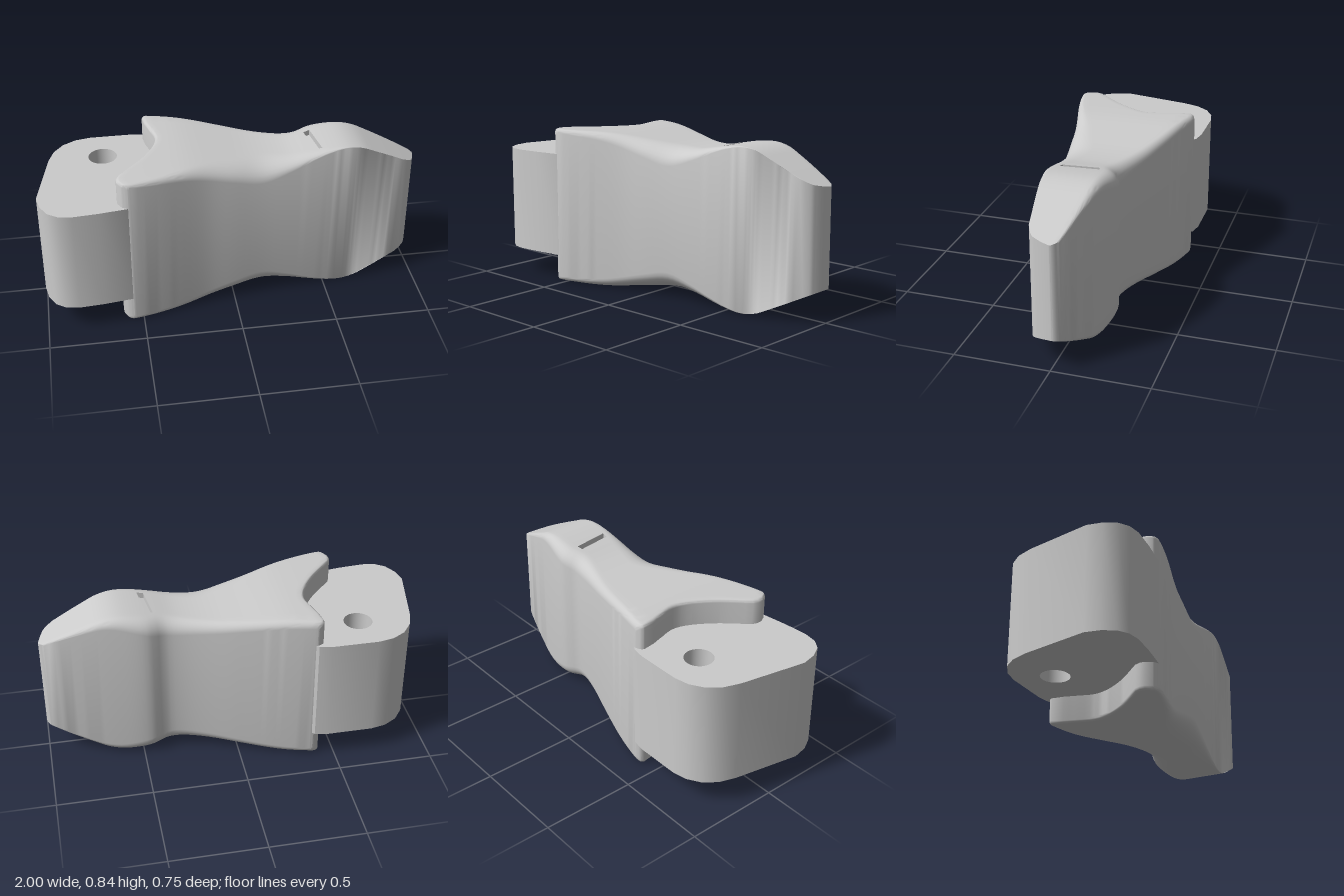
import * as THREE from 'three';
import { toCreasedNormals } from 'three/addons/utils/BufferGeometryUtils.js';

const MID = 0.4235; // mid height

// smooth curve through [position, value] pairs
function curve(pts) {
  const n = pts.length;
  const slope = (i) => {
    const a = pts[Math.max(0, i - 1)], b = pts[Math.min(n - 1, i + 1)];
    return (b[1] - a[1]) / (b[0] - a[0]);
  };
  return (x) => {
    if (x <= pts[0][0]) return pts[0][1];
    if (x >= pts[n - 1][0]) return pts[n - 1][1];
    let i = 0;
    while (x > pts[i + 1][0]) i++;
    const h = pts[i + 1][0] - pts[i][0], t = (x - pts[i][0]) / h;
    const t2 = t * t, t3 = t2 * t;
    return pts[i][1] * (2 * t3 - 3 * t2 + 1) + pts[i + 1][1] * (3 * t2 - 2 * t3)
      + h * (slope(i) * (t3 - 2 * t2 + t) + slope(i + 1) * (t3 - t2));
  };
}

// outline of the body along x
const backZ = curve([[-0.6, -0.37], [-0.42, -0.36], [-0.2, -0.31], [0, -0.25], [0.2, -0.185], [0.3, -0.16],
  [0.37, -0.154], [0.44, -0.174], [0.5, -0.171], [0.6, -0.15], [0.8, -0.1], [0.95, -0.058], [1, -0.04]]);
const frontZ = curve([[-0.6, 0.338], [-0.54, 0.342], [-0.4, 0.315], [-0.16, 0.253], [0, 0.231], [0.5, 0.17], [1, 0.108]]);
const halfHeight = curve([[-0.6, 0.421], [-0.3, 0.421], [-0.2, 0.415], [0, 0.39], [0.1, 0.379], [0.2, 0.375],
  [0.3, 0.38], [0.4, 0.398], [0.5, 0.415], [0.6, 0.421], [0.68, 0.406], [0.75, 0.375], [0.85, 0.327], [1, 0.252]]);
// edge rounding, across z and along y
const frontRz = curve([[-0.6, 0.015], [-0.3, 0.04], [0, 0.11], [0.15, 0.14], [0.3, 0.09], [0.45, 0.045], [0.6, 0.003], [1, 0.002]]);
const frontRy = curve([[-0.6, 0.015], [-0.3, 0.04], [0, 0.08], [0.15, 0.095], [0.3, 0.055], [0.45, 0.022], [0.6, 0.003], [1, 0.002]]);
const backR = curve([[-0.42, 0.035], [0, 0.045], [0.2, 0.06], [0.37, 0.08], [0.5, 0.07], [0.7, 0.035], [0.9, 0.012], [1, 0.008]]);
// ends of the body, from back (0) to front (1)
const startX = curve([[0, -0.385], [0.03, -0.415], [0.09, -0.42], [0.23, -0.395], [0.38, -0.372], [0.52, -0.40],
  [0.67, -0.47], [0.8, -0.56], [0.87, -0.598], [0.94, -0.6], [0.98, -0.58], [1, -0.55]]);
const endX = curve([[0, 0.972], [0.1, 0.995], [0.25, 0.998], [0.8, 0.968], [0.93, 0.942], [1, 0.91]]);
const slotX = (v) => 0.41 + 0.046 * (v - 0.29);
const SLOT_WIDTH = 0.034, SLOT_DEPTH = 0.03;

function bodyGeometry() {
  // columns along the length: a small fillet, the rear, the slot, the tip
  const columns = [];
  const fillet = 0.018;
  for (let k = 0; k <= 4; k++) {
    const a = k / 4 * Math.PI / 2;
    columns.push({ x: (v) => startX(v) + fillet * (1 - Math.cos(a)), inset: fillet * (1 - Math.sin(a)) });
  }
  for (let k = 1; k <= 30; k++) {
    const t = k / 30;
    columns.push({ x: (v) => (startX(v) + fillet) * (1 - t) + slotX(v) * t, inset: 0 });
  }
  columns.push({ x: slotX, inset: 0, slot: true });
  columns.push({ x: (v) => slotX(v) + SLOT_WIDTH, inset: 0, slot: true });
  for (let k = 0; k <= 20; k++) {
    const t = k / 20;
    columns.push({ x: (v) => (slotX(v) + SLOT_WIDTH) * (1 - t) + endX(v) * t, inset: 0 });
  }

  // upper half of a cross-section, from front to back
  const half = [];
  const steps = 7;
  for (let k = 0; k < steps; k++) half.push({ front: k / steps * Math.PI / 2 });
  half.push({ u: 1 }, { u: 0.95 });
  for (let k = 0; k <= 20; k++) half.push({ u: 0.95 - 0.85 * k / 20, slot: true });
  half.push({ u: 0.1 }, { u: 0 });
  for (let k = steps - 1; k >= 0; k--) half.push({ back: k / steps * Math.PI / 2 });
  const n = half.length, ring = 2 * n;

  const place = (col, p) => {
    let v = p.front !== undefined ? 1 : p.back !== undefined ? 0 : p.u;
    let x, z, drop;
    for (let k = 0; k < 6; k++) {
      x = col.x(v);
      const b = backZ(x), f = frontZ(x), rf = frontRz(x), rb = backR(x);
      drop = 0;
      if (p.front !== undefined) {
        z = f - rf * (1 - Math.cos(p.front));
        drop = frontRy(x) * (1 - Math.sin(p.front));
      } else if (p.back !== undefined) {
        z = b + rb * (1 - Math.cos(p.back));
        drop = rb * (1 - Math.sin(p.back));
      } else z = THREE.MathUtils.lerp(b + rb, f - rf, p.u);
      v = (z - b) / (f - b);
    }
    return [x, halfHeight(x) - drop - col.inset, z];
  };

  const positions = [], index = [];
  for (const col of columns) {
    const pts = half.map((p) => place(col, p));
    pts.forEach(([x, y, z], i) => positions.push(x, MID + y - (col.slot && half[i].slot ? SLOT_DEPTH : 0), z));
    for (let i = n - 1; i >= 0; i--) positions.push(pts[i][0], MID - pts[i][1], pts[i][2]);
  }
  const quad = (a, b, c, d) => index.push(a, b, c, a, c, d);
  for (let j = 0; j < columns.length - 1; j++) {
    for (let i = 0; i < ring; i++) {
      const a = j * ring, b = a + ring, k = (i + 1) % ring;
      quad(a + i, b + i, b + k, a + k);
    }
  }
  // end walls
  const last = (columns.length - 1) * ring;
  for (let i = 0; i < n - 1; i++) {
    const lo = ring - 1 - i;
    quad(i, i + 1, lo - 1, lo);
    quad(last + i, last + lo, last + lo - 1, last + i + 1);
  }
  const g = new THREE.BufferGeometry();
  g.setAttribute('position', new THREE.Float32BufferAttribute(positions, 3));
  g.setIndex(index);
  return toCreasedNormals(g, 0.6);
}

// hinge block: flat plan with a pin hole, extruded upwards
function knuckleGeometry() {
  const plan = [[-1, 0.18], [-0.985, 0.26], [-0.95, 0.325], [-0.9, 0.36], [-0.83, 0.372], [-0.7, 0.362],
    [-0.54, 0.34], [-0.4, 0.25], [-0.3, 0], [-0.32, -0.3], [-0.39, -0.365], [-0.46, -0.378], [-0.7, -0.378],
    [-0.78, -0.362], [-0.85, -0.32], [-0.9, -0.255], [-0.93, -0.17]];
  const shape = new THREE.Shape(plan.map(([x, z]) => new THREE.Vector2(x, -z)));
  const hole = new THREE.Path();
  hole.absarc(-0.645, 0.175, 0.075, 0, Math.PI * 2, true);
  shape.holes.push(hole);
  const g = new THREE.ExtrudeGeometry(shape, { depth: 0.565, bevelEnabled: false, curveSegments: 16 });
  g.rotateX(-Math.PI / 2);
  g.translate(0, 0.143, 0);
  return toCreasedNormals(g, 0.5);
}

export function createModel() {
  const group = new THREE.Group();
  const material = new THREE.MeshStandardMaterial({ color: 0xcccccc });
  const add = (name, geometry) => {
    const mesh = new THREE.Mesh(geometry, material);
    mesh.name = name;
    group.add(mesh);
  };
  add('body', bodyGeometry());
  add('hingeKnuckle', knuckleGeometry());
  return group;
}
